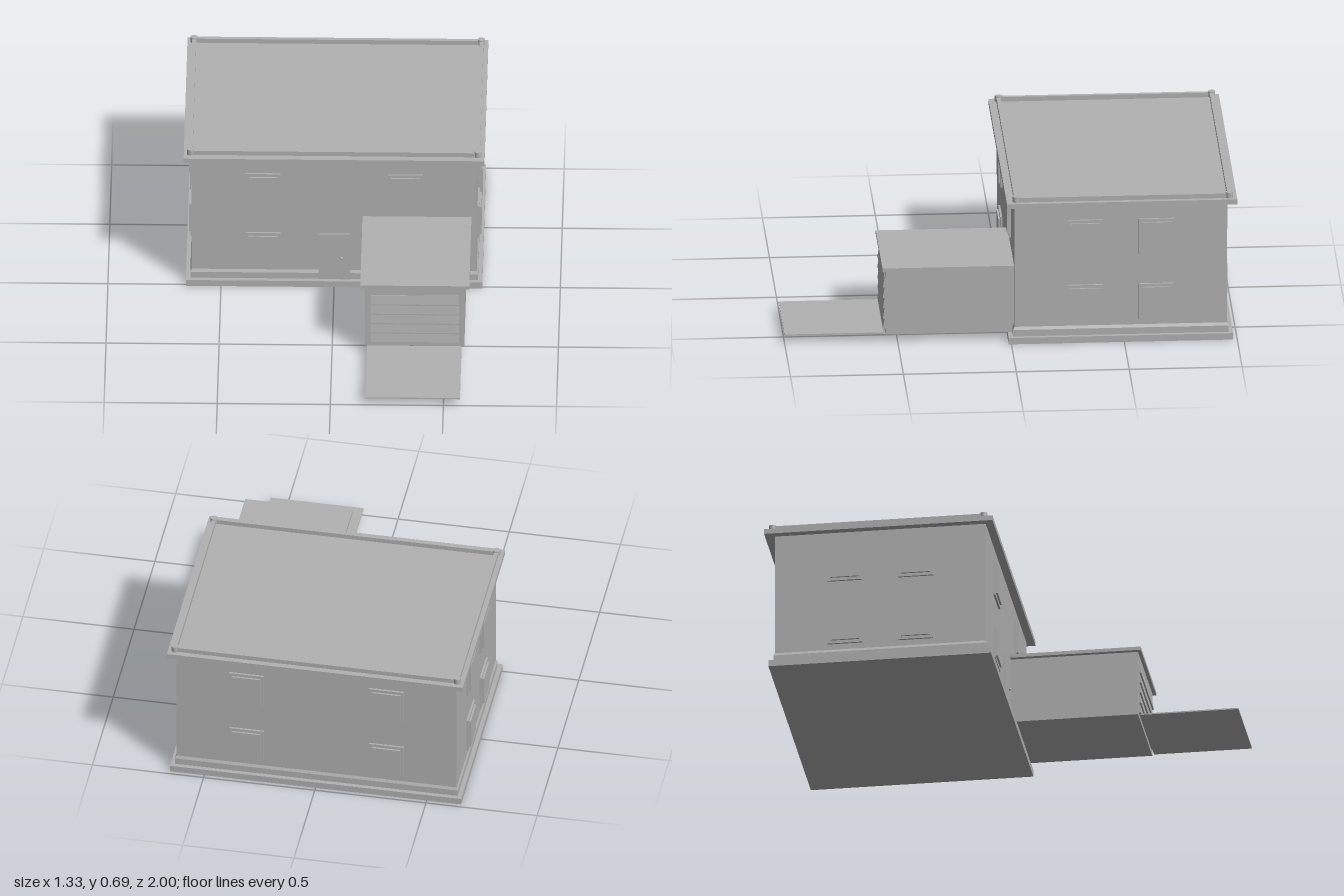
import * as THREE from 'three';

export function createModel() {
  const model = new THREE.Group();
  model.name = 'house';
  const plaster = new THREE.MeshStandardMaterial({ color: 0xb2b2b2 });
  plaster.name = 'plaster grey';

  const add = (parent, name, geometry) => {
    const mesh = new THREE.Mesh(geometry, plaster);
    mesh.name = name;
    parent.add(mesh);
    return mesh;
  };
  // Box given by its limits on each axis
  const box = (parent, name, x0, x1, y0, y1, z0, z1) => {
    const mesh = add(parent, name, new THREE.BoxGeometry(x1 - x0, y1 - y0, z1 - z0));
    mesh.position.set((x0 + x1) / 2, (y0 + y1) / 2, (z0 + z1) / 2);
    return mesh;
  };

  // Main block
  const W = 0.63, ZF = -0.015, ZB = -0.957;
  box(model, 'foundation', -0.655, 0.655, 0, 0.03, -0.982, 0.012);
  box(model, 'walls', -W, W, 0.03, 0.642, ZB, ZF);
  box(model, 'roofSlab', -0.665, 0.665, 0.642, 0.665, -1, 0.02);

  // Plinth with a chamfered top
  const e = 0.006;
  box(model, 'plinth', -W - e, W + e, 0.03, 0.06, ZB - e, ZF + e);
  const chamfer = box(model, 'plinthChamfer', -W - e, W + e, 0.06, 0.073, ZB - e, ZF + e);
  const p = chamfer.geometry.attributes.position;
  for (let i = 0; i < p.count; i++) {
    if (p.getY(i) > 0) {
      p.setX(i, p.getX(i) - Math.sign(p.getX(i)) * e);
      p.setZ(i, p.getZ(i) - Math.sign(p.getZ(i)) * e);
    }
  }
  chamfer.geometry = chamfer.geometry.toNonIndexed();
  chamfer.geometry.computeVertexNormals();

  // Roof rails and corner posts
  const RX = 0.635, RF = -0.022, RB = -0.966, T = 0.009;
  for (const s of [-1, 1]) {
    box(model, 'sideRail', s * RX - T, s * RX + T, 0.665, 0.686, RB, RF);
  }
  for (const z of [RF, RB]) {
    box(model, 'crossRail', -RX, RX, 0.665, 0.686, z - T, z + T);
    for (const s of [-1, 1]) {
      add(model, 'cornerPost', new THREE.CylinderGeometry(0.016, 0.016, 0.026, 12))
        .position.set(s * RX, 0.678, z);
    }
  }

  // Windows: a frame slab with a raised pane, facing +z before turning
  const addWindow = (name, x, y, z, turn) => {
    const win = new THREE.Group();
    win.name = name;
    box(win, 'windowFrame', -0.078, 0.078, -0.083, 0.083, -0.005, 0.009);
    box(win, 'windowPane', -0.064, 0.064, -0.069, 0.069, 0, 0.017);
    win.position.set(x, y, z);
    win.rotation.y = turn;
    model.add(win);
  };
  for (const y of [0.183, 0.489]) {
    for (const x of [-0.315, 0.315]) {
      addWindow('backWindow', x, y, ZB, Math.PI);
      if (x < 0 || y > 0.3) addWindow('frontWindow', x, y, ZF, 0);
    }
    for (const z of [-0.327, -0.643]) {
      addWindow('rightWindow', W, y, z, Math.PI / 2);
      addWindow('leftWindow', -W, y, z, -Math.PI / 2);
    }
  }

  // Front door
  box(model, 'frontDoor', -0.07, 0.07, 0.03, 0.262, ZF, ZF + 0.009);
  add(model, 'doorKnob', new THREE.SphereGeometry(0.006, 12, 8)).position.set(0.032, 0.14, ZF + 0.012);

  // Garage
  box(model, 'garageWalls', 0.145, 0.585, 0.033, 0.337, ZF, 0.553);
  box(model, 'garageRoof', 0.125, 0.607, 0.337, 0.353, ZF, 0.568);

  // Garage door of overlapping slats
  const slats = 5, y0 = 0.052, h = 0.243 / slats;
  const profile = new THREE.Shape([[0, 0], [0.01, 0], [0.01, 0.006], [0.003, h], [0, h]]
    .map(([a, b]) => new THREE.Vector2(a, b)));
  const slatGeometry = new THREE.ExtrudeGeometry(profile, { depth: 0.392, bevelEnabled: false });
  slatGeometry.rotateY(-Math.PI / 2);
  for (let i = 0; i < slats; i++) {
    add(model, 'garageDoorSlat', slatGeometry).position.set(0.562, y0 + i * h, 0.553);
  }

  // Driveway
  box(model, 'driveway', 0.155, 0.573, 0.033, 0.039, 0.563, 1);

  return model;
}
